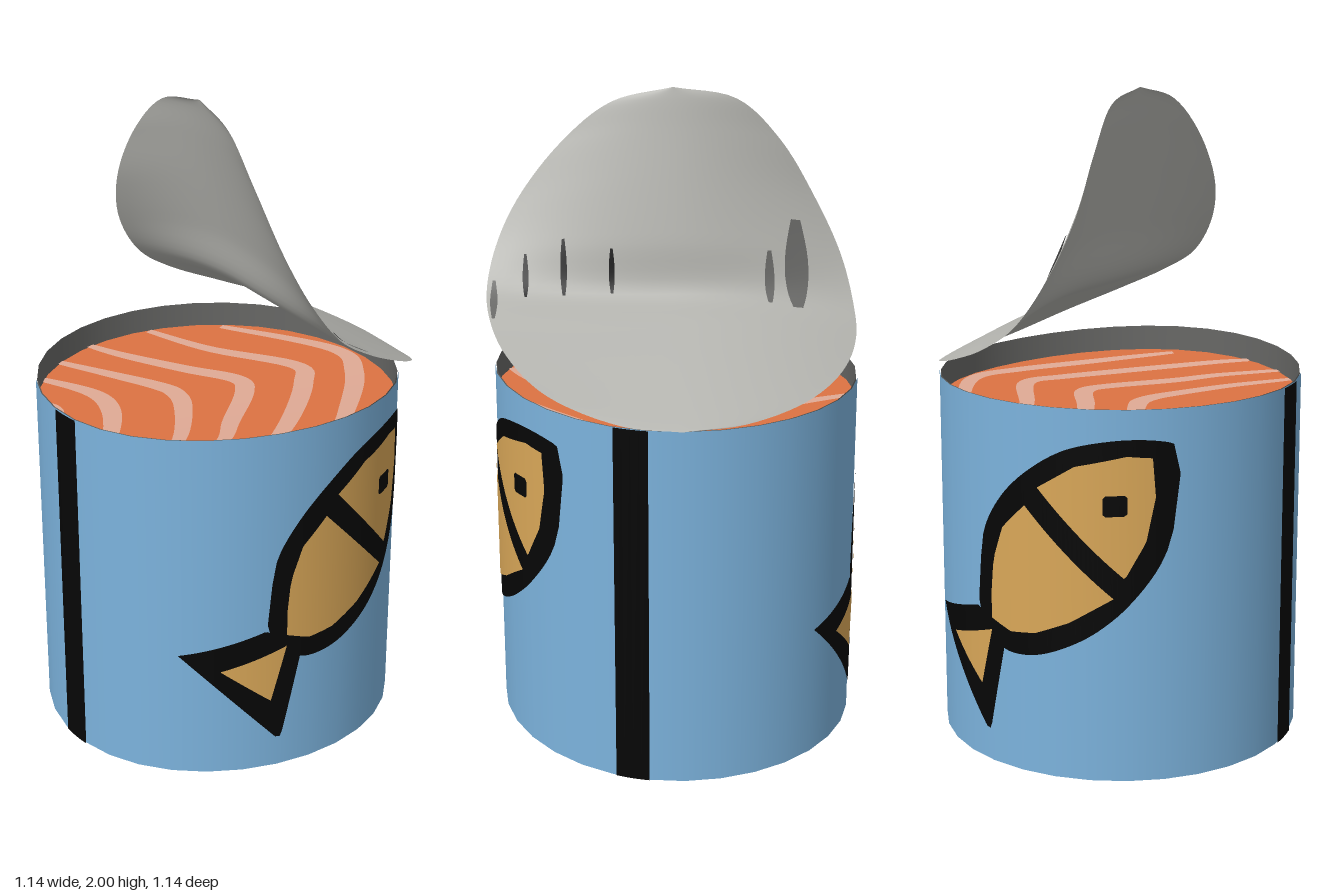
import * as THREE from 'three';

const R = 0.562, H = 1.133;
const mat = (name, color, side = THREE.FrontSide) => {
  const m = new THREE.MeshStandardMaterial({ color, side });
  m.name = name;
  return m;
};
// The front half of the can rises slightly towards +z.
const lift = (z) => 0.031 * (Math.max(z, 0) / R) ** 2;

function warp(geo) {
  const p = geo.attributes.position;
  for (let i = 0; i < p.count; i++) p.setY(i, p.getY(i) + lift(p.getZ(i)));
  return geo;
}

// Surface grid from fn(u, v) -> [x, y, z], facing along du x dv.
function grid(nu, nv, fn) {
  const pos = [], idx = [];
  for (let i = 0; i <= nu; i++)
    for (let j = 0; j <= nv; j++) pos.push(...fn(i / nu, j / nv));
  for (let i = 0; i < nu; i++)
    for (let j = 0; j < nv; j++) {
      const a = i * (nv + 1) + j, b = a + nv + 1;
      idx.push(a, b, a + 1, b, b + 1, a + 1);
    }
  const g = new THREE.BufferGeometry();
  g.setAttribute('position', new THREE.Float32BufferAttribute(pos, 3));
  g.setIndex(idx);
  g.computeVertexNormals();
  return g;
}

// Outline wrapped on the can wall, filled in vertical columns.
function decal(outline, smooth, offset, raised) {
  let pts = outline.map(([x, y]) => new THREE.Vector2(x, y));
  if (smooth) pts = new THREE.SplineCurve([...pts, pts[0]]).getPoints(100);
  const xs = pts.map((p) => p.x), x0 = Math.min(...xs) + 1e-4, x1 = Math.max(...xs) - 1e-4;
  const span = (x) => {
    const ys = [];
    pts.forEach((p, i) => {
      const q = pts[(i + 1) % pts.length];
      if ((p.x - x) * (q.x - x) <= 0 && p.x !== q.x) ys.push(p.y + (q.y - p.y) * (x - p.x) / (q.x - p.x));
    });
    return [Math.min(...ys), Math.max(...ys)];
  };
  return grid(48, 1, (u, v) => {
    const x = x0 + (x1 - x0) * u, z = Math.sqrt(R * R - x * x), k = 1 + offset / R;
    return [x * k, span(x)[v] - (raised ? 0 : lift(z)), z * k];
  });
}

// Flat tapering ribbon along a path in x and z.
function ribbon(path, width, y) {
  const c = new THREE.SplineCurve(path.map(([x, z]) => new THREE.Vector2(x, z)));
  return grid(40, 1, (u, v) => {
    const p = c.getPoint(u), d = c.getTangent(u);
    const w = (v - 0.5) * width * (0.45 + 0.55 * Math.sin(Math.PI * u));
    const q = new THREE.Vector2(p.x + d.y * w, p.y - d.x * w).clampLength(0, R - 0.007);
    return [q.x, y + lift(q.y), q.y];
  });
}

const FISH = {
  body: [[-.145, .536], [-.134, .663], [-.113, .77], [-.044, .88], [.051, .97], [.168, 1.04], [.3, 1.066],
    [.4, 1.056], [.435, 1.02], [.435, .865], [.408, .705], [.338, .578], [.247, .488], [.141, .43],
    [.046, .403], [-.044, .408], [-.12, .465]],
  tail: [[-.38, .435], [-.15, .515], [-.03, .46], [-.04, .41], [-.1, .133], [-.118, .135]],
  flank: [[.041, .865], [-.039, .785], [-.076, .679], [-.086, .573], [-.086, .493], [-.012, .467],
    [.073, .477], [.178, .52], [.295, .594]],
  head: [[.083, .923], [.194, .992], [.327, 1.019], [.388, 1.008], [.39, .891], [.37, .759], [.322, .652]],
  fin: [[-.277, .387], [-.086, .456], [-.134, .27]],
  eye: [[.268, .85], [.268, .898], [.275, .905], [.321, .905], [.328, .898], [.328, .85], [.321, .843], [.275, .843]],
};

const MARBLING = [
  [[-.33, -.46], [-.23, -.29], [-.14, -.13], [-.12, -.05], [-.15, .05], [-.26, .23], [-.4, .38]],
  [[-.44, -.37], [-.36, -.23], [-.335, -.13], [-.36, -.02], [-.43, .11], [-.51, .23]],
  [[-.53, -.22], [-.505, -.13], [-.56, -.02]],
  [[-.18, -.53], [-.12, -.4], [0, -.2], [.1, -.05], [.07, .05], [-.08, .22], [-.17, .33], [-.33, .46]],
  [[.05, -.54], [.15, -.3], [.32, -.05], [.27, .08], [.1, .28], [-.08, .45], [-.18, .52]],
  [[.28, -.45], [.5, -.1], [.45, .1], [.25, .35], [.1, .5]],
];

// Lid stations from hinge to tip: middle line, and the front and back rims curling away.
const curve = (a) => new THREE.CatmullRomCurve3(a.map((p) => new THREE.Vector3(...p)));
const LID_MID = curve([[.565, 1.135, 0], [.555, 1.142, 0], [.49, 1.18, 0], [.34, 1.262, 0], [.18, 1.345, 0],
  [.08, 1.4, 0], [.043, 1.55, 0], [0, 1.72, 0], [-.04, 1.88, 0], [-.06, 1.965, 0], [-.07, 2, 0]]);
const LID_FRONT = curve([[.565, 1.135, 0], [.545, 1.148, .17], [.45, 1.21, .385], [.3, 1.285, .505], [.16, 1.355, .557],
  [.06, 1.42, .567], [-.02, 1.53, .54], [-.07, 1.66, .475], [-.09, 1.83, .34], [-.082, 1.955, .185], [-.07, 2, 0]]);
const LID_BACK = curve([[.565, 1.135, 0], [.53, 1.142, -.18], [.43, 1.172, -.365], [.28, 1.215, -.49], [.13, 1.272, -.548],
  [.02, 1.345, -.552], [-.07, 1.48, -.52], [-.118, 1.65, -.44], [-.115, 1.83, -.33], [-.09, 1.96, -.195], [-.07, 2, 0]]);
const lidRim = (u, z) => (z < 0 ? LID_BACK : LID_FRONT).getPoint(u);
function lidPoint(u, v) {
  const c = LID_MID.getPoint(u), r = lidRim(u, v);
  return [c.x + v * v * (r.x - c.x), c.y + v * v * (r.y - c.y), Math.abs(v) * r.z];
}

export function createModel() {
  const blue = mat('blue label', 0x7cb3dd), black = mat('black ink', 0x060606);
  const gold = mat('golden ink', 0xd9a758), salmon = mat('salmon flesh', 0xdd7242, THREE.DoubleSide);
  const pale = mat('pale marbling', 0xe0aa95, THREE.DoubleSide), steel = mat('light steel', 0xb3b3ae, THREE.DoubleSide);
  const dark = mat('dark steel', 0x676765, THREE.DoubleSide);

  const model = new THREE.Group(), can = new THREE.Group();
  model.name = 'openCan';
  can.name = 'can';
  can.position.set(-0.006, 0, -0.009);
  model.add(can);
  const add = (parent, name, geo, material) => {
    const m = new THREE.Mesh(geo, material);
    m.name = name;
    parent.add(m);
  };

  // Can wall, inside wall and base
  const tube = (r, y0, y1, n, a, len) =>
    warp(new THREE.CylinderGeometry(r, r, y1 - y0, n, 1, true, a, len).translate(0, (y0 + y1) / 2, 0));
  add(can, 'wall', tube(R, 0, H, 32), blue);
  add(can, 'insideWall', tube(R - 0.004, 1.0, H, 32), dark);
  const disc = (r, tilt, y) => warp(new THREE.RingGeometry(0, r, 32, 8).rotateX(tilt).translate(0, y, 0));
  add(can, 'base', disc(R, Math.PI / 2, 0), dark);

  // Two seams in the label
  for (const deg of [68.5, 271.5])
    add(can, 'labelSeam', tube(R + 0.003, 0, H, 4, THREE.MathUtils.degToRad(deg), 0.185), black);

  // Salmon filling with pale bands
  add(can, 'salmon', disc(R - 0.004, -Math.PI / 2, 1.052), salmon);
  for (const path of MARBLING) add(can, 'marbling', ribbon(path, 0.062, 1.057), pale);

  // A fish on the front and another on the back
  for (const front of [true, false]) {
    const fish = new THREE.Group();
    fish.name = front ? 'frontFish' : 'backFish';
    fish.rotation.y = front ? 0 : Math.PI - 0.035;
    can.add(fish);
    add(fish, 'bodyOutline', decal(FISH.body, true, 0.003, front), black);
    add(fish, 'tailOutline', decal(FISH.tail, false, 0.003, front), black);
    for (const part of ['flank', 'head', 'fin']) add(fish, part, decal(FISH[part], false, 0.006, front), gold);
    add(fish, 'eye', decal(FISH.eye, false, 0.009, front), black);
  }

  // Bent lid
  const lid = new THREE.Group();
  lid.name = 'lid';
  model.add(lid);
  add(lid, 'lidSheet', grid(60, 24, (u, v) => lidPoint(u, 2 * v - 1)), steel);

  // Narrow creases pressed into the lid: station range, z and width
  const crease = ([u0, u1, z, w]) => grid(10, 2, (s, t) => {
    const u = u0 + (u1 - u0) * s, taper = 0.4 + 0.6 * Math.sin(Math.PI * s);
    const [x, y, pz] = lidPoint(u, (z + (t - 0.5) * w * taper) / Math.abs(lidRim(u, z).z));
    return [x + 0.006, y + 0.003, pz];
  });
  for (const c of [[.5, .59, .19, .018], [.49, .61, .335, .02], [.48, .58, .45, .018]])
    add(lid, 'crease', crease(c), black);
  for (const c of [[.47, .65, -.375, .075], [.48, .59, -.29, .03], [.4, .52, .545, .022]])
    add(lid, 'dent', crease(c), dark);

  return model;
}
